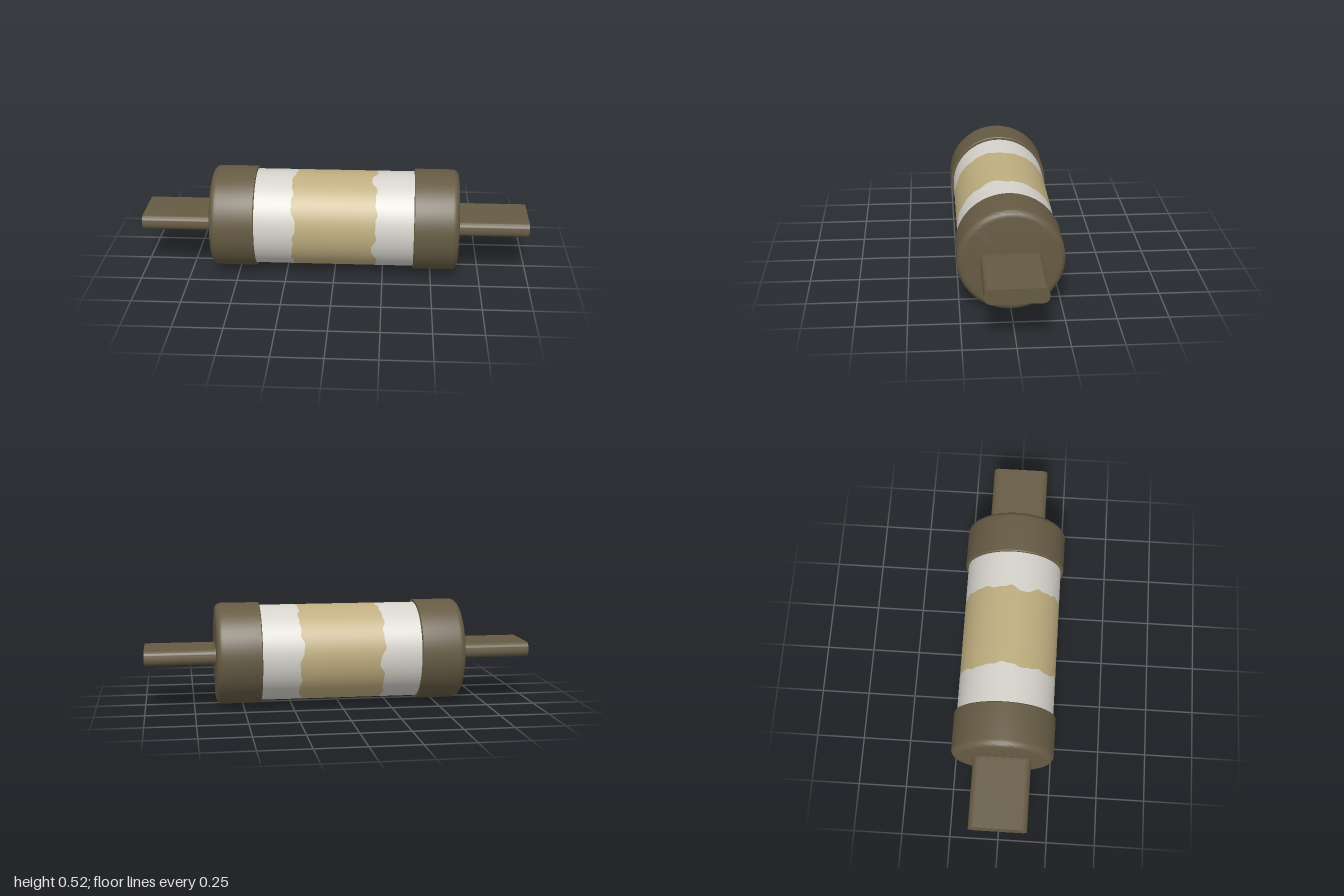
import * as THREE from 'three';
import { toCreasedNormals } from 'three/addons/utils/BufferGeometryUtils.js';

const AXIS_Y = 0.262;
const BODY_R = 0.248;

// Ragged edge of the label: distance from the middle at angle t
const labelEdge = (t, side) => {
  const p = side > 0 ? 0.4 : 2.1;
  const notch = Math.max(0, Math.sin(4 * t + p)) ** 3;
  return side * (0.215 - 0.022 * notch + 0.005 * Math.sin(11 * t + p) + 0.003 * Math.sin(23 * t));
};

// Open band around the x axis whose two rims follow functions of the angle
function band(from, to) {
  const geo = new THREE.CylinderGeometry(BODY_R, BODY_R, 1, 128, 1, true);
  const pos = geo.attributes.position;
  for (let i = 0; i < pos.count; i++) {
    const t = Math.atan2(pos.getX(i), pos.getZ(i));
    pos.setY(i, pos.getY(i) > 0 ? to(t) : from(t));
  }
  return geo.rotateZ(-Math.PI / 2);
}

// Cap: sharp inner rim, rounded outer rim
function capGeometry() {
  const x0 = 0.408, x1 = 0.638, r = 0.262, f = 0.034;
  const pts = [new THREE.Vector2(0.2, x0), new THREE.Vector2(r - 0.004, x0), new THREE.Vector2(r, x0 + 0.004)];
  for (let i = 0; i <= 6; i++) {
    const a = (i / 6) * Math.PI / 2;
    pts.push(new THREE.Vector2(r - f + f * Math.cos(a), x1 - f + f * Math.sin(a)));
  }
  pts.push(new THREE.Vector2(0, x1));
  const geo = new THREE.LatheGeometry(pts, 72).rotateZ(-Math.PI / 2);
  return toCreasedNormals(geo, 0.6);
}

// Flat bar with rounded long edges, running along x
function bar(halfWidth, halfHeight, radius, x0, x1) {
  const w = halfWidth, h = halfHeight, r = radius, q = Math.PI / 2;
  const s = new THREE.Shape();
  s.absarc(w - r, h - r, r, 0, q);
  s.absarc(-w + r, h - r, r, q, 2 * q);
  s.absarc(-w + r, -h + r, r, 2 * q, 3 * q);
  s.absarc(w - r, -h + r, r, 3 * q, 4 * q);
  s.closePath();
  const geo = new THREE.ExtrudeGeometry(s, { depth: x1 - x0, bevelEnabled: false, curveSegments: 6 });
  geo.rotateY(Math.PI / 2).translate(x0, 0.003, 0);
  return toCreasedNormals(geo, 0.6);
}

export function createModel() {
  const bronze = new THREE.MeshStandardMaterial({ color: 0x665b44 });
  const white = new THREE.MeshStandardMaterial({ color: 0xd6d3cc });
  const tan = new THREE.MeshStandardMaterial({ color: 0xbfae80 });
  bronze.name = 'bronze';
  white.name = 'white';
  tan.name = 'tan';

  const model = new THREE.Group();
  model.name = 'fuse';
  const add = (parent, name, geo, mat) => {
    const mesh = new THREE.Mesh(geo, mat);
    mesh.name = name;
    parent.add(mesh);
  };

  const barrel = new THREE.Group();
  barrel.name = 'barrel';
  barrel.position.y = AXIS_Y;
  model.add(barrel);

  // Tan label between two white sleeves that share its ragged edges
  const left = t => labelEdge(t, 1), right = t => labelEdge(t, -1);
  add(barrel, 'label', band(right, left), tan);
  add(barrel, 'leftSleeve', band(left, () => 0.42), white);
  add(barrel, 'rightSleeve', band(() => -0.42, right), white);

  // Metal cap, collar and blade at each end
  for (const side of [1, -1]) {
    const end = new THREE.Group();
    end.name = side > 0 ? 'leftTerminal' : 'rightTerminal';
    if (side < 0) end.rotation.y = Math.PI;
    add(end, 'cap', capGeometry(), bronze);
    add(end, 'collar', bar(0.153, 0.043, 0.036, 0.62, 0.644), bronze);
    add(end, 'blade', bar(0.148, 0.038, 0.03, 0.62, 1), bronze);
    barrel.add(end);
  }
  return model;
}
